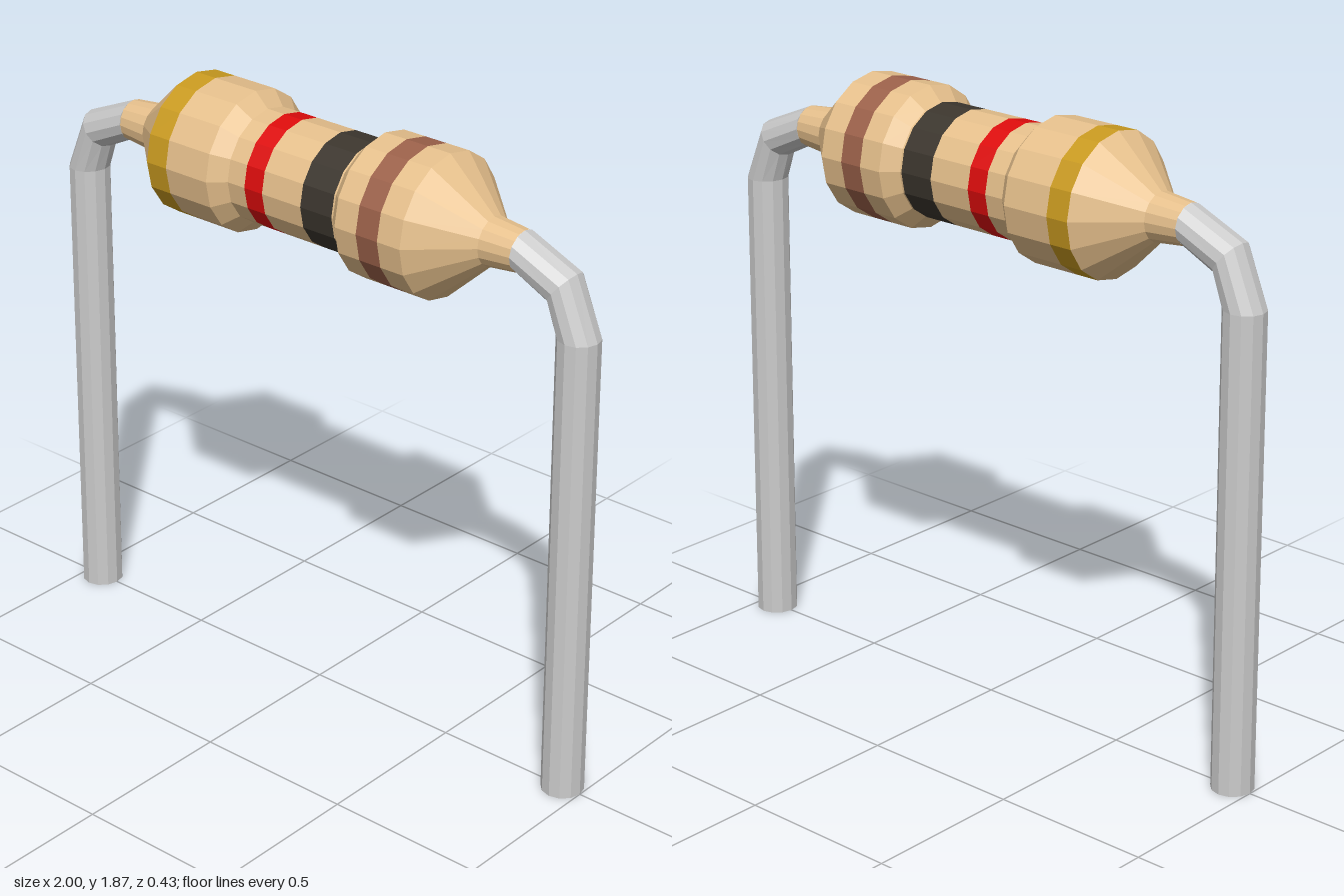
import * as THREE from 'three';

const AXIS_Y = 1.652;
const TAN = 0xe6c08c;

function material(color) {
  return new THREE.MeshStandardMaterial({ color, flatShading: true });
}

// Faceted sleeve turned about the x axis from [x, radius] pairs, x ascending
function turned(name, color, profile) {
  const geo = new THREE.LatheGeometry(profile.map(([x, r]) => new THREE.Vector2(r, x)), 16);
  geo.rotateZ(-Math.PI / 2);
  const mesh = new THREE.Mesh(geo, material(color));
  mesh.name = name;
  mesh.position.y = AXIS_Y;
  return mesh;
}

// Bent wire: each section is [outerX, outerY, innerX, innerY], from foot to body
function wire(name) {
  const sections = [
    [1.0, 0, 0.873, 0],
    [0.992, 1.452, 0.866, 1.455],
    [0.915, 1.637, 0.838, 1.54],
    [0.735, 1.714, 0.73, 1.593],
  ];
  const sides = 12, depth = 0.065, pos = [], idx = [];
  for (const [ox, oy, ix, iy] of sections) {
    for (let i = 0; i < sides; i++) {
      const a = (i / sides) * Math.PI * 2, t = (1 + Math.cos(a)) / 2;
      pos.push(ix + (ox - ix) * t, iy + (oy - iy) * t, depth * Math.sin(a));
    }
  }
  for (let s = 0; s < sections.length - 1; s++) {
    for (let i = 0; i < sides; i++) {
      const j = (i + 1) % sides, a = s * sides + i, b = s * sides + j;
      idx.push(a, a + sides, b, b, a + sides, b + sides);
    }
  }
  // End caps: foot faces down, the other end faces the body
  const last = (sections.length - 1) * sides;
  for (let i = 1; i < sides - 1; i++) {
    idx.push(0, i, i + 1, last, last + i + 1, last + i);
  }
  const geo = new THREE.BufferGeometry();
  geo.setAttribute('position', new THREE.Float32BufferAttribute(pos, 3));
  geo.setIndex(idx);
  geo.computeVertexNormals();
  const mesh = new THREE.Mesh(geo, material(0xcccccc));
  mesh.name = name;
  return mesh;
}

export function createModel() {
  const model = new THREE.Group();
  model.name = 'resistor';

  // Body pieces and colour bands, along x
  const R = 0.216, W = 0.173;
  const body = new THREE.Group();
  body.name = 'body';
  body.add(
    turned('rightEnd', TAN, [[-0.735, 0.062], [-0.63, 0.073], [-0.475, R]]),
    turned('goldBand', 0xc99a20, [[-0.475, R], [-0.4, R]]),
    turned('rightBulge', TAN, [[-0.4, R], [-0.243, R], [-0.198, W], [-0.134, W]]),
    turned('redBand', 0xdd0c0c, [[-0.134, W], [-0.067, W]]),
    turned('waist', TAN, [[-0.067, W], [0.077, W]]),
    turned('blackBand', 0x3c362e, [[0.077, W], [0.192, W]]),
    turned('leftBulge', TAN, [[0.192, W], [0.198, W], [0.24, R], [0.317, R]]),
    turned('brownBand', 0x9c614a, [[0.317, R], [0.393, R]]),
    turned('leftEnd', TAN, [[0.393, R], [0.473, R], [0.63, 0.073], [0.735, 0.062]]),
  );
  model.add(body);

  // Wire legs, the right one turned half round
  const rightLeg = wire('rightLeg');
  rightLeg.rotation.y = Math.PI;
  model.add(wire('leftLeg'), rightLeg);
  return model;
}
